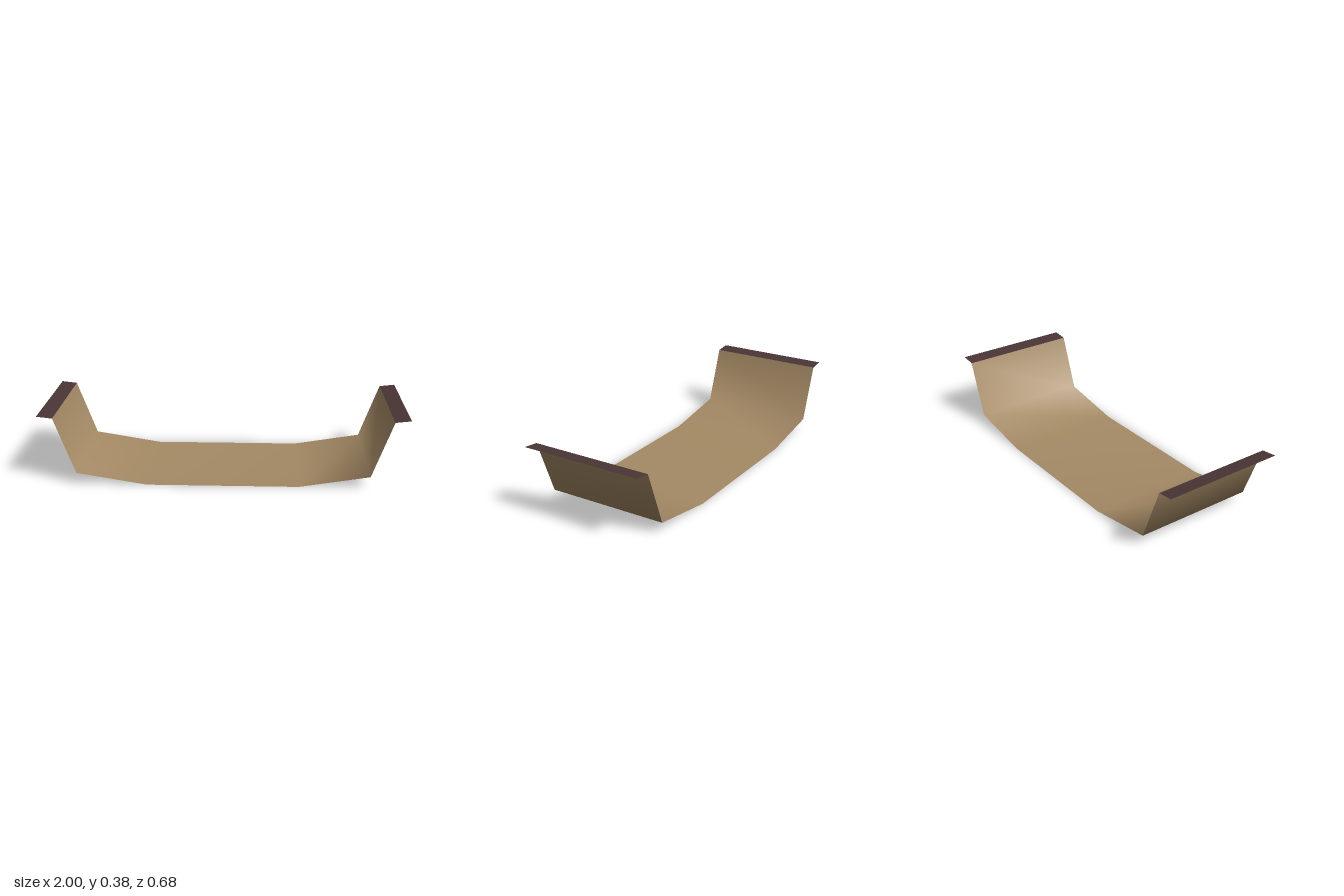
import * as THREE from 'three';

const DEPTH = 0.684;

// Thin sheet: an (x, y) profile, left to right, swept along z and facing up
function sheet(name, profile, material) {
  const geometry = new THREE.PlaneGeometry(1, DEPTH, profile.length - 1, 1);
  geometry.rotateX(-Math.PI / 2);
  const position = geometry.attributes.position;
  for (let i = 0; i < position.count; i++) {
    const [x, y] = profile[i % profile.length];
    position.setXY(i, x, y);
  }
  geometry.computeVertexNormals();
  const mesh = new THREE.Mesh(geometry, material);
  mesh.name = name;
  return mesh;
}

export function createModel() {
  const tan = new THREE.MeshStandardMaterial({ color: 0xa58a65, side: THREE.DoubleSide });
  tan.name = 'tan';
  const darkMaroon = new THREE.MeshStandardMaterial({ color: 0x4a3535, side: THREE.DoubleSide });
  darkMaroon.name = 'dark maroon';

  const model = new THREE.Group();
  model.name = 'curvedTrough';

  // Smoothly shaded trough: flat floor, shallow bends and steep walls
  const half = [[0.415, 0], [0.8, 0.063], [0.914, 0.374]];
  const mirrored = half.map(([x, y]) => [-x, y]).reverse();
  model.add(sheet('trough', [...mirrored, ...half], tan));

  // Rims rising slightly outward from the wall tops
  model.add(sheet('leftRim', [[0.914, 0.374], [1, 0.384]], darkMaroon));
  model.add(sheet('rightRim', [[-1, 0.384], [-0.914, 0.374]], darkMaroon));

  return model;
}
